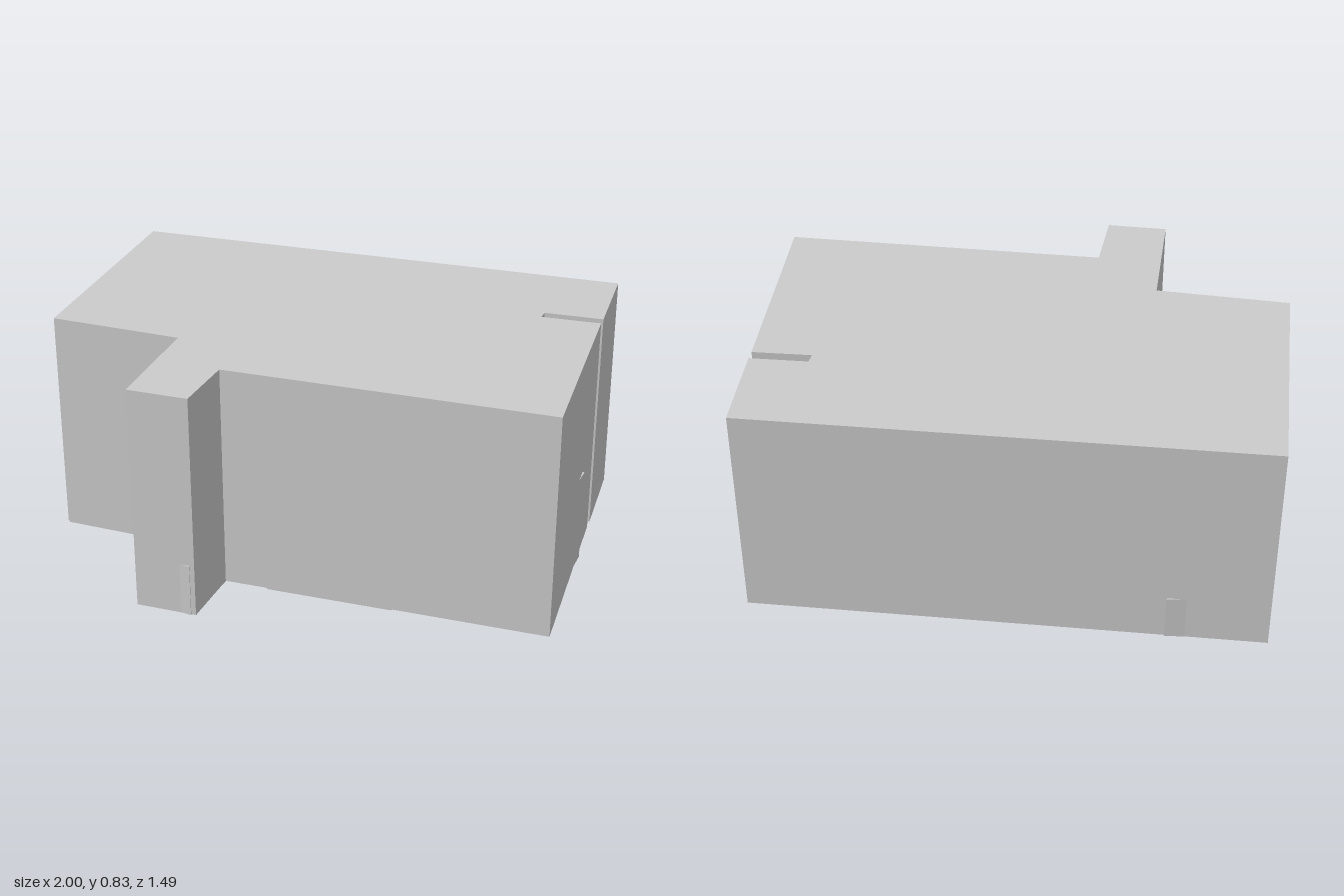
import * as THREE from 'three';

const material = new THREE.MeshStandardMaterial({ color: 0xcccccc, flatShading: true });

// Upright prism over a footprint given as [x, z] corners
function prism(name, corners, bottom, top) {
  const shape = new THREE.Shape(corners.map(([x, z]) => new THREE.Vector2(x, -z)));
  const geometry = new THREE.ExtrudeGeometry(shape, { depth: top - bottom, bevelEnabled: false });
  geometry.rotateX(-Math.PI / 2).translate(0, bottom, 0);
  const mesh = new THREE.Mesh(geometry, material);
  mesh.name = name;
  return mesh;
}

export function createModel() {
  const model = new THREE.Group();
  model.name = 'building';

  // Main block with the slot in its side and the porch at the front
  model.add(prism('mainBlock', [
    [-0.84, -0.748], [0.998, -0.44], [0.945, -0.093], [0.735, -0.125],
    [0.725, -0.087], [0.937, -0.056], [0.82, 0.716], [-0.333, 0.504],
    [-0.393, 0.74], [-0.609, 0.698], [-0.525, 0.265], [-1, 0.155],
  ], 0.006, 0.835));

  // Slightly skewed panels that emerge from the walls and fade back into them
  model.add(prism('sidePanel', [[0.91, 0.17], [0.85, 0.4], [0.87, 0.17]], 0.006, 0.355));
  model.add(prism('backPanel', [[-0.48, -0.694], [-0.5, -0.66], [-0.62, -0.705]], 0.006, 0.18));
  model.add(prism('porchPanel', [[-0.41, 0.742], [-0.46, 0.725], [-0.41, 0.72]], 0.006, 0.2));

  // Thin floor plates under the block
  const plates = {
    leftFloor: [[-0.42, -0.43], [-0.88, -0.53], [-0.995, 0.155], [-0.525, 0.263], [-0.6, 0.69], [-0.4, 0.73], [-0.335, 0.5]],
    frontFloor: [[0.31, 0.354], [-0.14, 0.28], [-0.18, 0.53], [0.27, 0.612]],
    backFloor: [[0.65, -0.44], [-0.28, -0.595], [-0.31, -0.4], [0.62, -0.24]],
    sideFloor: [[0.895, 0.17], [0.7, 0.12], [0.66, 0.36], [0.865, 0.4]],
  };
  for (const [name, corners] of Object.entries(plates)) model.add(prism(name, corners, 0, 0.006));

  return model;
}
